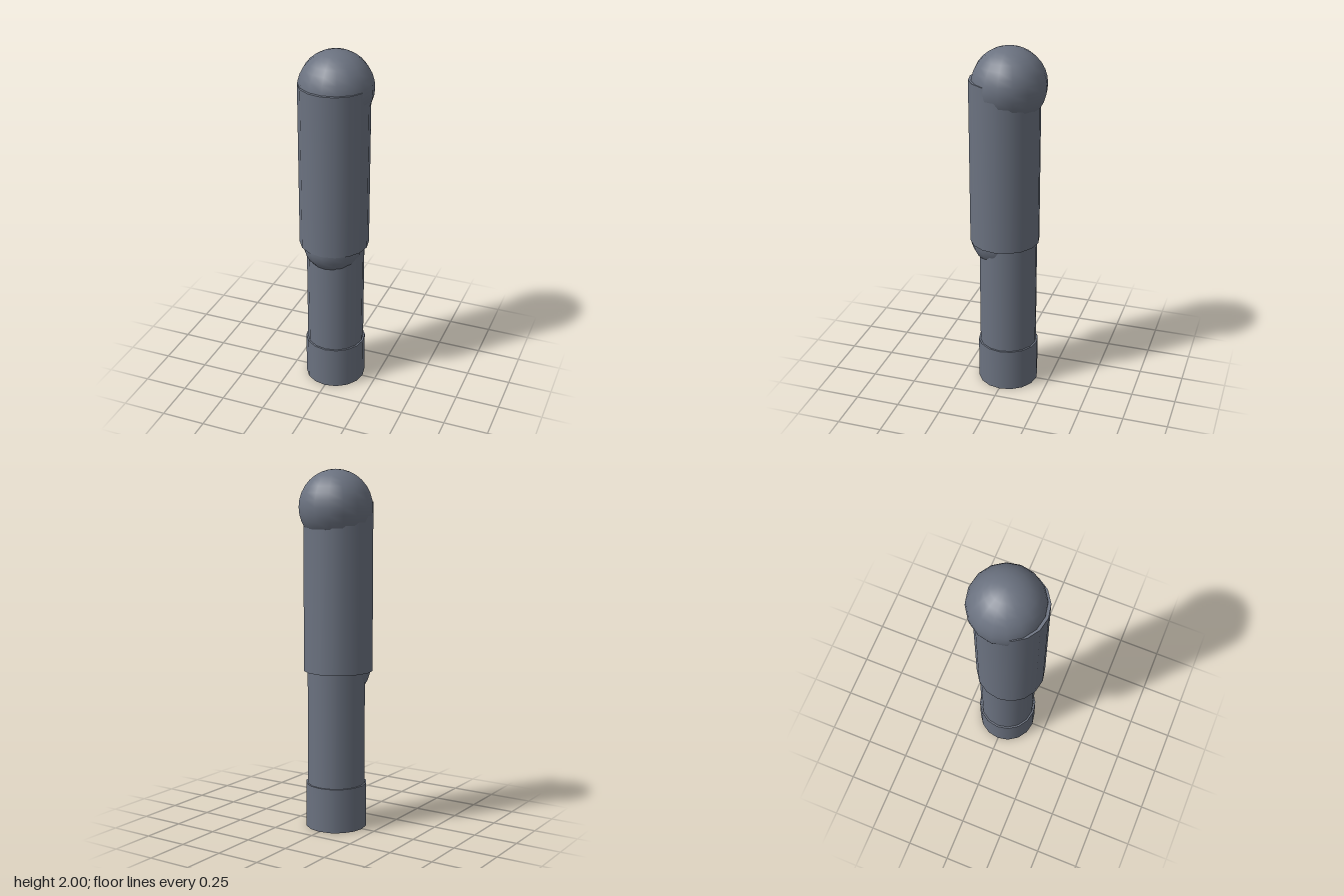
import * as THREE from 'three';

const SIDES = 16;

export function createModel() {
  const group = new THREE.Group();
  const slate = new THREE.MeshStandardMaterial({ color: 0x6b7280 });
  slate.name = 'slate grey';

  const add = (name, geometry, y, z) => {
    const mesh = new THREE.Mesh(geometry, slate);
    mesh.name = name;
    mesh.position.set(0, y, z);
    group.add(mesh);
  };
  // Upright capped tube between two heights
  const limb = (name, radius, bottom, top, z) =>
    add(name, new THREE.CylinderGeometry(radius, radius, top - bottom, SIDES), (bottom + top) / 2, z);
  const joint = (name, radius, y, z) =>
    add(name, new THREE.SphereGeometry(radius, SIDES, SIDES), y, z);

  // Hip ball sits slightly behind the thigh, knee ball slightly ahead of the shin
  joint('hipJoint', 0.205, 1.795, -0.008);
  limb('thigh', 0.194, 0.89, 1.823, 0.017);
  joint('kneeJoint', 0.17, 0.905, 0.04);
  limb('shin', 0.162, 0.2, 0.95, -0.003);
  limb('ankleCuff', 0.172, 0, 0.25, -0.003);

  return group;
}
